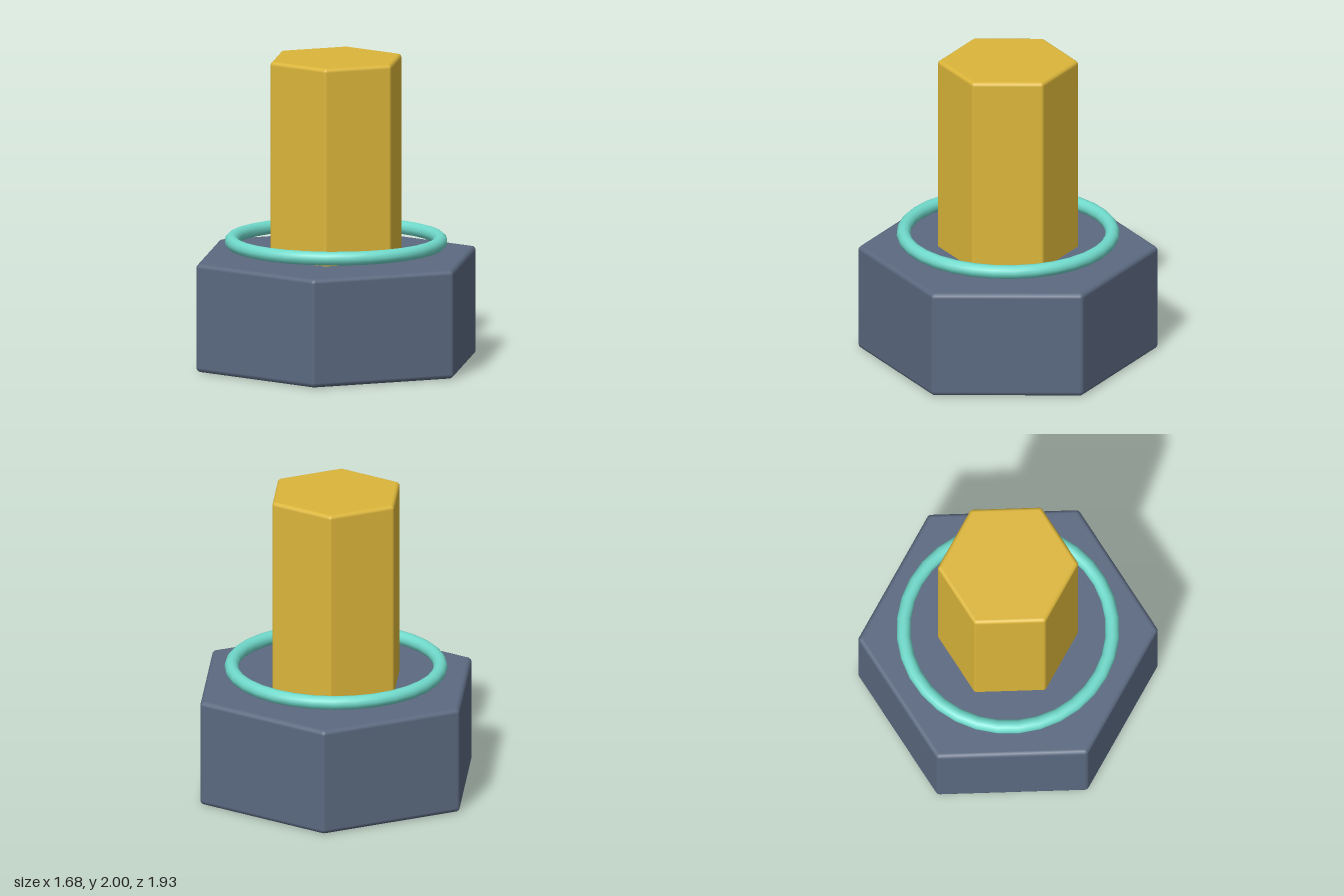
import * as THREE from 'three';

// Hexagonal prism with rounded edges, points facing +z and -z
function roundedHexPrism(radius, y0, y1, bevel) {
  const steps = 3;
  const inner = radius - bevel / Math.cos(Math.PI / 6);
  const pos = [], nor = [], index = [];

  // Outline: each corner is a small arc around an inset centre
  const outline = [];
  for (let k = 0; k < 6; k++) {
    const corner = Math.PI / 6 + k * Math.PI / 3;
    for (let s = 0; s <= steps; s++) {
      outline.push({ corner, dir: corner + (s / steps - 0.5) * Math.PI / 3 });
    }
  }
  const n = outline.length;

  // Rings from the bottom edge rounding to the top edge rounding
  const rings = [];
  for (let s = 0; s <= steps; s++) rings.push([y0 + bevel, -Math.PI / 2 * (1 - s / steps)]);
  for (let s = 0; s <= steps; s++) rings.push([y1 - bevel, Math.PI / 2 * s / steps]);
  for (const [y, tilt] of rings) {
    for (const { corner, dir } of outline) {
      const nx = Math.cos(tilt) * Math.cos(dir), ny = Math.sin(tilt), nz = Math.cos(tilt) * Math.sin(dir);
      pos.push(inner * Math.cos(corner) + bevel * nx, y + bevel * ny, inner * Math.sin(corner) + bevel * nz);
      nor.push(nx, ny, nz);
    }
  }
  for (let i = 0; i < rings.length - 1; i++) {
    for (let j = 0; j < n; j++) {
      const a = i * n + j, b = i * n + (j + 1) % n;
      index.push(a, a + n, b, b, a + n, b + n);
    }
  }

  // Flat end caps
  const bottom = rings.length * n, top = bottom + 1, last = (rings.length - 1) * n;
  pos.push(0, y0, 0, 0, y1, 0);
  nor.push(0, -1, 0, 0, 1, 0);
  for (let j = 0; j < n; j++) {
    const k = (j + 1) % n;
    index.push(bottom, j, k, top, last + k, last + j);
  }

  const geometry = new THREE.BufferGeometry();
  geometry.setAttribute('position', new THREE.Float32BufferAttribute(pos, 3));
  geometry.setAttribute('normal', new THREE.Float32BufferAttribute(nor, 3));
  geometry.setIndex(index);
  return geometry;
}

export function createModel() {
  const slate = new THREE.MeshStandardMaterial({ color: 0x5b6980 });
  slate.name = 'slate';
  const gold = new THREE.MeshStandardMaterial({ color: 0xdcb63a });
  gold.name = 'gold';
  const teal = new THREE.MeshStandardMaterial({ color: 0x70dacb });
  teal.name = 'teal';

  const model = new THREE.Group();
  model.name = 'hexBolt';
  const add = (name, geometry, material) => {
    const mesh = new THREE.Mesh(geometry, material);
    mesh.name = name;
    model.add(mesh);
    return mesh;
  };

  // Wide head at the bottom, narrow shaft sunk slightly into it
  add('head', roundedHexPrism(0.97, 0, 0.71, 0.03), slate);
  add('shaft', roundedHexPrism(0.456, 0.66, 2, 0.025), gold);

  // Thin ring floating just above the head
  const ring = add('ring', new THREE.TorusGeometry(0.675, 0.045, 12, 32), teal);
  ring.rotation.x = Math.PI / 2;
  ring.position.y = 0.8;

  return model;
}
